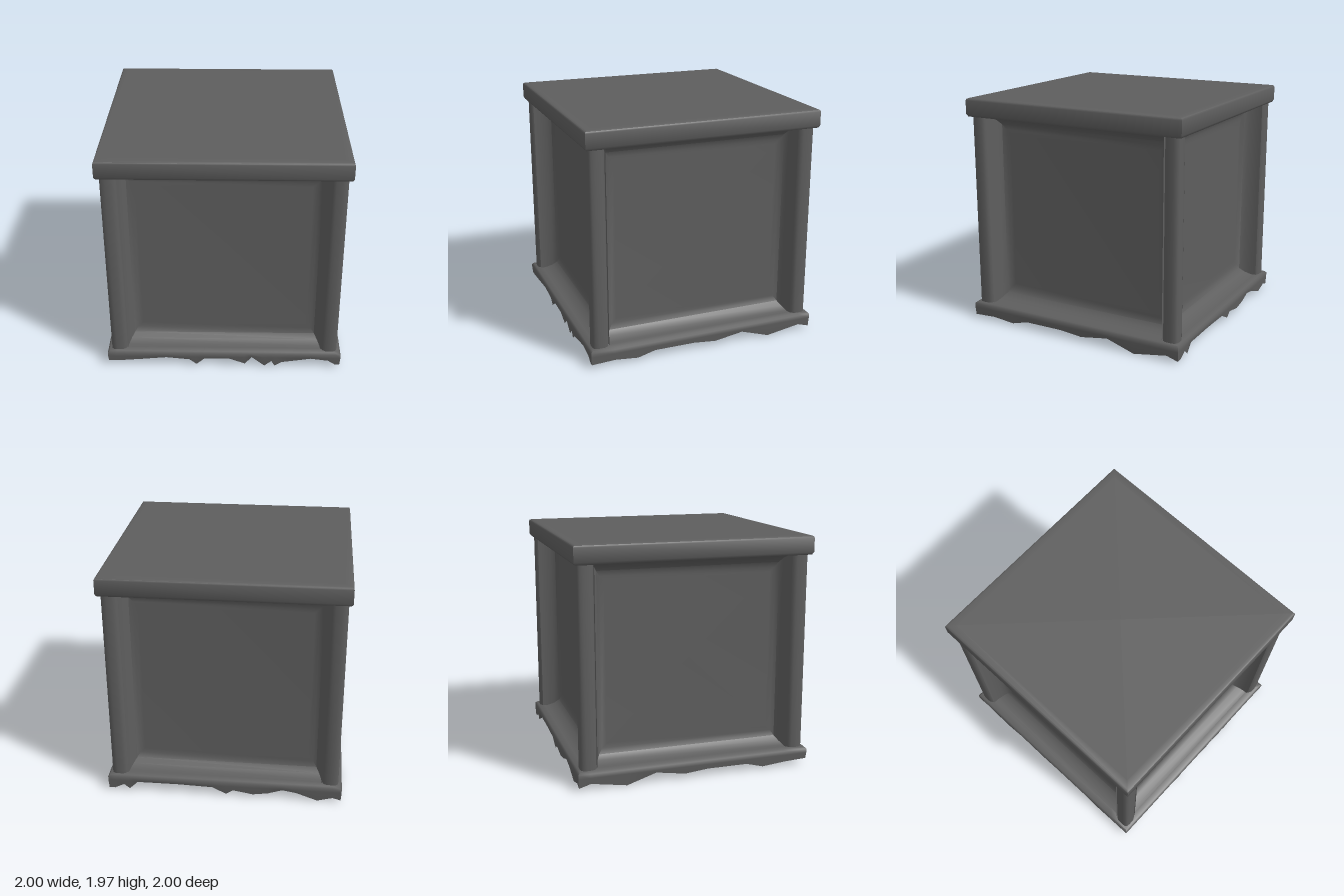
import * as THREE from 'three';
import { toCreasedNormals } from 'three/addons/utils/BufferGeometryUtils.js';

const stone = new THREE.MeshStandardMaterial({ color: 0x5e5e5e, side: THREE.DoubleSide });
stone.name = 'dark grey';

// Skins a stack of rings ([x, y, z] points) into a shell
function loft(name, rings, closed = true) {
  const n = rings[0].length, pos = rings.flat(2), index = [];
  for (let i = 0; i < rings.length - 1; i++) {
    for (let j = 0; j < (closed ? n : n - 1); j++) {
      const k = (j + 1) % n;
      const a = i * n + j, b = i * n + k, c = b + n, d = a + n;
      index.push(a, b, d, b, c, d);
    }
  }
  const geo = new THREE.BufferGeometry();
  geo.setAttribute('position', new THREE.Float32BufferAttribute(pos, 3));
  geo.setIndex(index);
  const mesh = new THREE.Mesh(toCreasedNormals(geo, 0.8), stone);
  mesh.name = name;
  return mesh;
}

// Slab lid with softened edges, hollow underneath
function makeLid() {
  const profile = [[0.8, 1.81], [0.97, 1.81], [0.988, 1.815], [1, 1.835], [1, 1.95],
    [0.995, 1.963], [0.98, 1.97], [0.93, 1.97], [0, 1.97]];
  return loft('lid', profile.map(([s, y]) => [[-s, y, s], [s, y, s], [s, y, -s], [-s, y, -s]]));
}

// Recessed side panel with a sloping, dished border
function makePanel() {
  const steps = [[0.83, 0.15, 1.815, 0.95], [0.825, 0.155, 1.805, 0.9], [0.805, 0.18, 1.775, 0.84],
    [0.78, 0.215, 1.735, 0.8], [0.75, 0.26, 1.69, 0.78], [0.71, 0.3, 1.65, 0.778], [0, 0.98, 0.98, 0.778]];
  return loft('sidePanel', steps.map(([w, lo, hi, z]) => [[-w, lo, z], [w, lo, z], [w, hi, z], [-w, hi, z]]));
}

// Rounded corner post, open towards the inside
function makePost() {
  const half = [[0.825, 0.86], [0.832, 0.93], [0.845, 0.955], [0.87, 0.968], [0.92, 0.97], [0.95, 0.965]];
  const profile = [...half, ...half.map(([x, z]) => [z, x]).reverse()];
  return loft('cornerPost', [0.13, 1.83].map(y => profile.map(([x, z]) => [x, y, z])), false);
}

// Base rim with a broken lower edge: [position along side, height]
function makeRim() {
  const front = [[-1, 0.05], [-0.93, 0.05], [-0.7, 0.07], [-0.5, 0.09], [-0.3, 0.07], [-0.24, 0.02],
    [-0.17, 0.08], [0.05, 0.08], [0.18, 0.03], [0.24, 0.1], [0.35, 0.01], [0.41, 0.06], [0.44, 0.01],
    [0.5, 0.05], [0.75, 0.09], [0.9, 0.07], [0.96, 0.03]];
  const back = [[1, 0.02], [0.95, 0.02], [0.87, 0.06], [0.82, 0.02], [0.75, 0.09], [0.4, 0.09], [0.1, 0.08],
    [-0.02, 0.02], [-0.08, 0.06], [-0.25, 0.03], [-0.38, 0.05], [-0.5, 0.09], [-0.62, 0.07],
    [-0.8, 0.005], [-0.93, 0.04]];
  const side = [[1, 0.03], [0.8, 0.04], [0.6, 0.02], [0.45, 0.06], [0.1, 0.06], [-0.1, 0.04],
    [-0.35, 0.08], [-0.6, 0], [-0.9, 0.05]];
  const edge = [
    ...front.map(([x, y]) => [x, y, 1]),
    ...side.map(([z, y]) => [1, y, z]),
    ...back.map(([x, y]) => [x, y, -1]),
    [-1, 0.02, -1],
    ...side.slice(1).reverse().map(([z, y]) => [-1, y, z]),
  ];
  const ring = (s, height) => edge.map(([x, y, z]) => [x * s, height(y), z * s]);
  return loft('brokenBaseRim', [
    ring(0.95, y => y + 0.03),
    ring(0.995, y => y),
    ring(1, y => Math.max(0.1, y + 0.015)),
    ring(1, () => 0.135),
    ring(0.985, () => 0.15),
    ring(0.93, () => 0.155),
  ]);
}

export function createModel() {
  const model = new THREE.Group();
  model.name = 'hollowBlock';
  model.add(makeLid(), makeRim());
  for (let i = 0; i < 4; i++) {
    const panel = makePanel(), post = makePost();
    panel.rotation.y = post.rotation.y = i * Math.PI / 2;
    model.add(panel, post);
  }
  return model;
}
